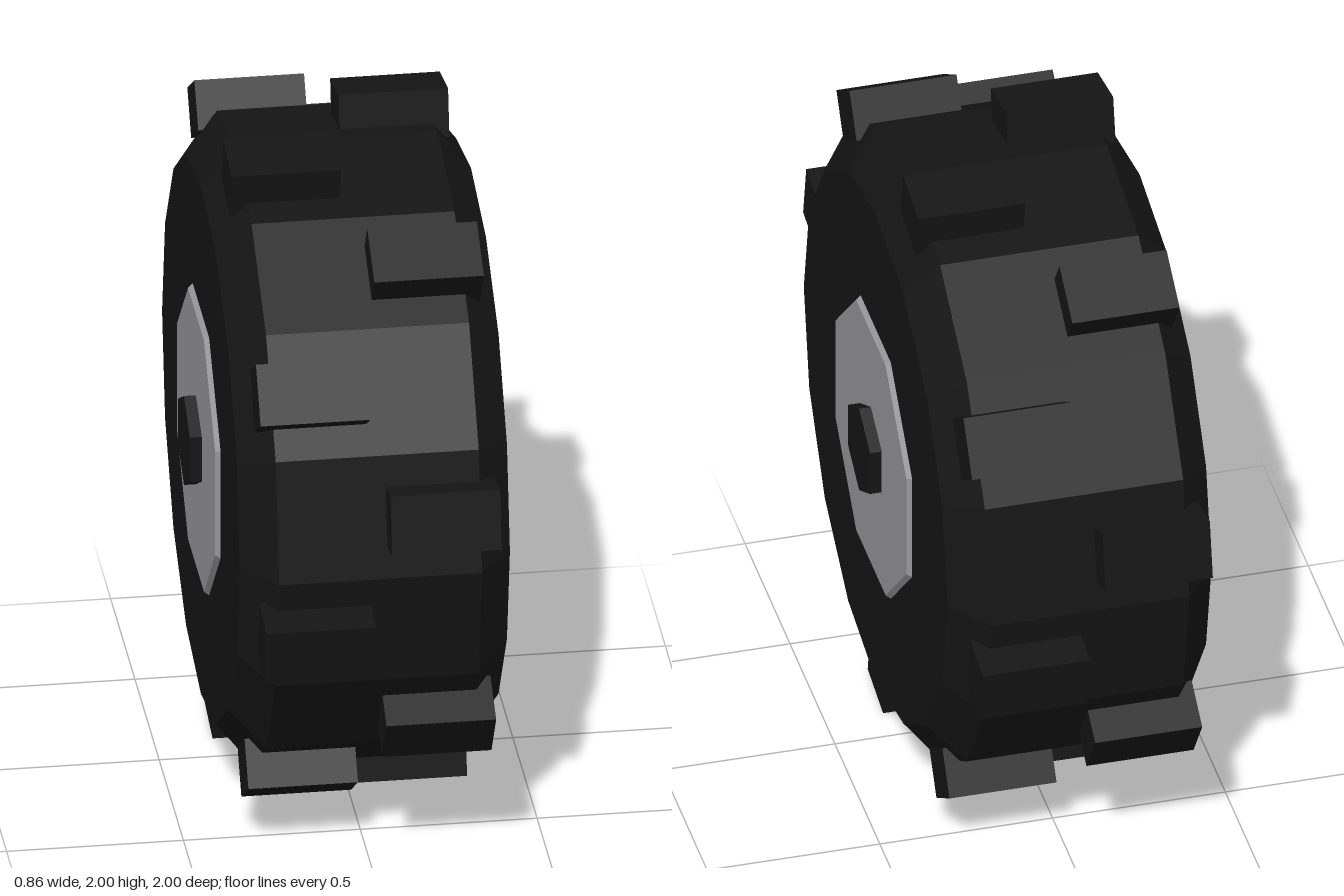
import * as THREE from 'three';

export function createModel() {
  const model = new THREE.Group();
  model.name = 'wheel';
  const rubber = new THREE.MeshStandardMaterial({ color: 0x151515, flatShading: true });
  const metal = new THREE.MeshStandardMaterial({ color: 0x98979c, flatShading: true });

  const add = (name, geometry, material, parent) => {
    const mesh = new THREE.Mesh(geometry, material);
    mesh.name = name;
    parent.add(mesh);
    return mesh;
  };

  // Everything turned sits on an axle lying along x
  const turned = new THREE.Group();
  turned.name = 'turnedParts';
  turned.rotation.z = Math.PI / 2;
  turned.position.y = 1;
  model.add(turned);

  // Tire: 16-sided drum with bevelled shoulders
  const profile = [[0, -0.382], [0.8, -0.382], [0.92, -0.287], [0.92, 0.287], [0.8, 0.382], [0, 0.382]]
    .map(([r, y]) => new THREE.Vector2(r, y));
  add('tire', new THREE.LatheGeometry(profile, 16), rubber, turned);

  // Bevelled octagonal hub plate and hexagonal axle nut on each side
  const octagon = 1 / Math.cos(Math.PI / 8);
  for (const side of [1, -1]) {
    const cap = new THREE.Group();
    cap.name = side > 0 ? 'rightCap' : 'leftCap';
    if (side > 0) cap.rotation.x = 0;
    else cap.rotation.x = Math.PI;
    turned.add(cap);
    const plate = new THREE.CylinderGeometry(0.395 * octagon, 0.415 * octagon, 0.025, 8, 1, false, Math.PI / 8);
    add('hubPlate', plate, metal, cap).position.y = 0.3835;
    const nut = new THREE.CylinderGeometry(0.14, 0.14, 0.06, 6, 1, false, Math.PI / 6);
    add('axleNut', nut, rubber, cap).position.y = 0.4;
  }

  // Tread lugs: one on each tire facet, alternating left and right
  const lugs = new THREE.Group();
  lugs.name = 'treadLugs';
  lugs.position.y = 1;
  model.add(lugs);
  const lugShape = new THREE.BoxGeometry(0.31, 0.175, 0.142);
  for (let i = 0; i < 16; i++) {
    const angle = (i + 0.5) * Math.PI / 8;
    const lug = add('treadLug', lugShape, rubber, lugs);
    lug.position.set(i % 2 ? -0.179 : 0.177, 0.931 * Math.sin(angle), 0.931 * Math.cos(angle));
    lug.rotation.x = -angle;
  }

  return model;
}
